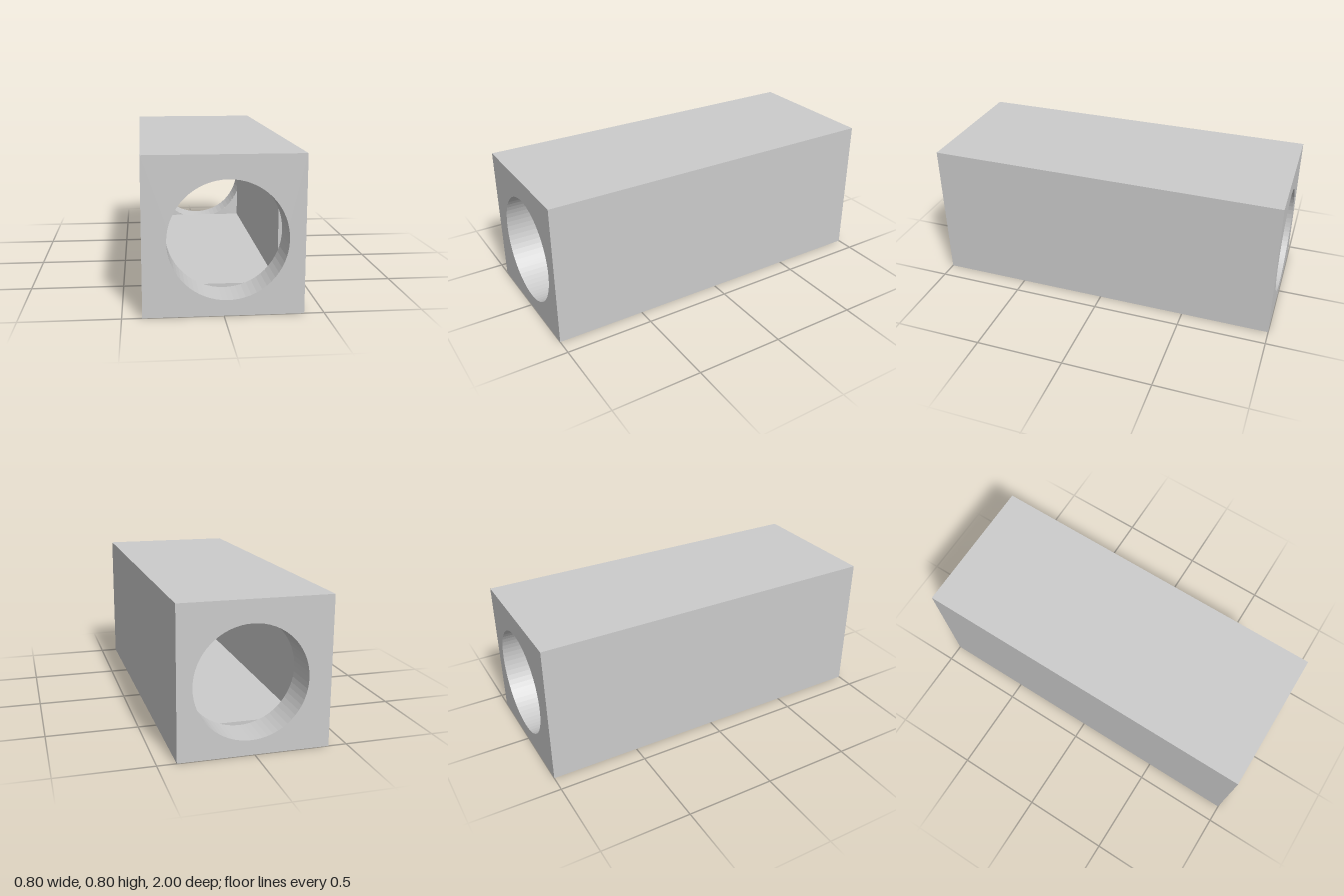
import * as THREE from 'three';

// Square tube with thick end walls, each pierced by a slightly off-centre round bore
const OUT = 0.4, IN = 0.3, HALF = 1, WALL = 0.2;
const CX = 0.02, CY = 0.38, R = 0.3, SEG = 32;

// Turn a surface inside out
function flip(geo) {
  const idx = geo.index.array;
  for (let i = 0; i < idx.length; i += 3) [idx[i], idx[i + 1]] = [idx[i + 1], idx[i]];
  const n = geo.attributes.normal.array;
  for (let i = 0; i < n.length; i++) n[i] = -n[i];
  return geo;
}

// The four long sides of a box, open at both z ends
function openBox(half, length) {
  const geo = new THREE.BoxGeometry(2 * half, 2 * half, length);
  geo.setIndex(Array.from(geo.index.array).slice(0, 24));
  geo.clearGroups();
  return geo.translate(0, OUT, 0);
}

function square(half) {
  return new THREE.Shape([[-half, -half], [half, -half], [half, half], [-half, half]]
    .map(([x, y]) => new THREE.Vector2(x, OUT + y)));
}

export function createModel() {
  const group = new THREE.Group();
  const material = new THREE.MeshStandardMaterial({ color: 0xcccccc, flatShading: true });
  const add = (name, geo) => {
    const mesh = new THREE.Mesh(geo, material);
    mesh.name = name;
    group.add(mesh);
  };
  // Flat face at depth z, facing +z or -z
  const face = (name, shapes, z, facing) => {
    const geo = new THREE.ShapeGeometry(shapes, SEG).translate(0, 0, z);
    add(name, facing > 0 ? geo : flip(geo));
  };

  // End face with the round opening
  const endShape = square(OUT);
  endShape.holes.push(new THREE.Path().absarc(CX, CY, R, 0, Math.PI * 2, true));

  // The bore crosses the cavity's +x wall and floor; s is half the angle it cuts off
  const s = Math.acos((IN - CX) / R), q = Math.PI / 2;
  const floor = OUT - IN, roof = OUT + IN;

  // Inner side of an end wall: the cavity square minus the bore, in two pieces
  const corner = new THREE.Shape();
  corner.moveTo(CX + R * Math.sin(s), floor);
  corner.lineTo(IN, floor);
  corner.lineTo(IN, CY - R * Math.sin(s));
  corner.absarc(CX, CY, R, -s, -q + s, true);
  const rest = new THREE.Shape();
  rest.moveTo(IN, CY + R * Math.sin(s));
  rest.lineTo(IN, roof);
  rest.lineTo(-IN, roof);
  rest.lineTo(-IN, floor);
  rest.lineTo(CX - R * Math.sin(s), floor);
  rest.absarc(CX, CY, R, 3 * q - s, s, true);

  // Slivers of the bore that stop against the cavity walls
  const ledges = [0, -q].map((a) => new THREE.Shape().absarc(CX, CY, R, a - s, a + s, false));

  add('outerWalls', openBox(OUT, 2 * HALF));
  add('cavityWalls', flip(openBox(IN, 2 * (HALF - WALL))));

  for (const [end, side] of [['front', 1], ['back', -1]]) {
    const inner = side * (HALF - WALL);
    face(end + 'EndFace', endShape, side * HALF, side);
    face(end + 'InnerFace', [corner, rest], inner, -side);
    face(end + 'BoreLedges', ledges, inner, side);
    const bore = new THREE.CylinderGeometry(R, R, WALL, SEG * 2, 1, true);
    bore.rotateX(q).rotateZ(q).translate(CX, CY, side * (HALF - WALL / 2));
    add(end + 'Bore', flip(bore));
  }
  return group;
}
